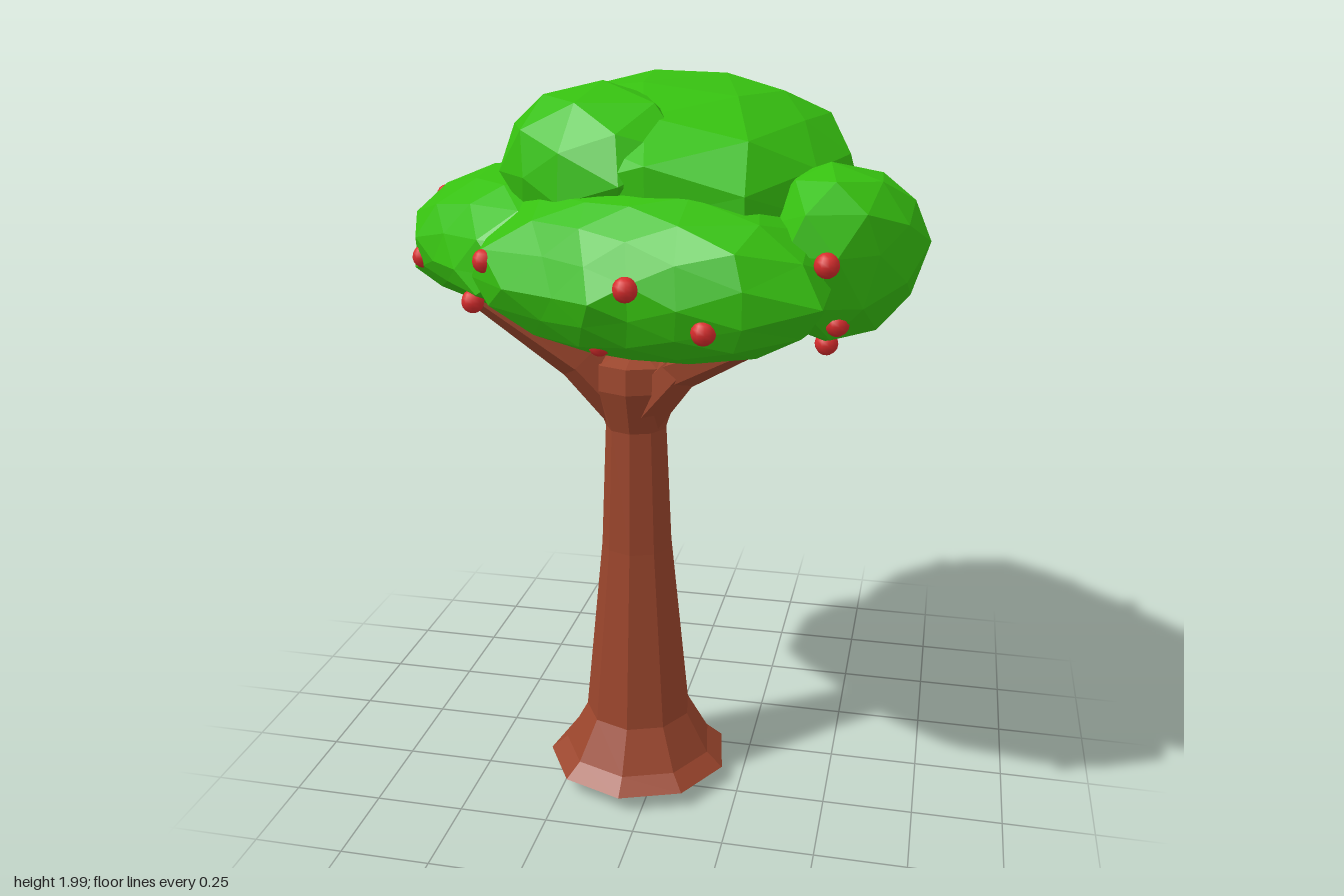
import * as THREE from 'three';

const mat = (color) => new THREE.MeshStandardMaterial({ color, flatShading: true, roughness: 1 });
const bark = mat(0x9a452c), leaf = mat(0x36c010), red = new THREE.MeshStandardMaterial({ color: 0xd82c2c });

// Small repeatable wobble taken from a direction, so shared corners stay joined
const wobble = (v, k) => Math.sin(v.x * 7.1 + k) * Math.sin(v.y * 6.3 + k * 2) * Math.sin(v.z * 8.7 + k * 3);

// Distance from a centre to a plan outline along direction (dx, dz)
function reach(cx, cz, dx, dz, outline) {
  let best = 0;
  outline.forEach(([ax, az], i) => {
    const [bx, bz] = outline[(i + 1) % outline.length];
    const ex = bx - ax, ez = bz - az, den = dx * ez - dz * ex;
    if (Math.abs(den) < 1e-9) return;
    const t = ((ax - cx) * ez - (az - cz) * ex) / den;
    const u = ((ax - cx) * dz - (az - cz) * dx) / den;
    if (t > 0 && u >= -1e-6 && u <= 1 + 1e-6) best = Math.max(best, t);
  });
  return best;
}

// Faceted leaf clump: a dome above and below a plan outline of [x, z] points
function clump(name, [cx, cz], [low, mid, high], outline, detail, seed) {
  const geo = new THREE.IcosahedronGeometry(1, detail);
  geo.rotateY(seed * 0.7);
  const p = geo.attributes.position, v = new THREE.Vector3();
  for (let i = 0; i < p.count; i++) {
    v.fromBufferAttribute(p, i);
    const flat = Math.max(Math.hypot(v.x, v.z), 1e-5);
    const dx = v.x / flat, dz = v.z / flat;
    const r = reach(cx, cz, dx, dz, outline) * Math.pow(flat, 0.9) * (1 + 0.06 * wobble(v, seed));
    p.setXYZ(i, cx + dx * r, mid + v.y * (v.y > 0 ? high - mid : mid - low), cz + dz * r);
  }
  geo.computeVertexNormals();
  const mesh = new THREE.Mesh(geo, leaf);
  mesh.name = name;
  return mesh;
}

// Tapered limb through a list of [x, y, z, radius]
function limb(name, points) {
  const group = new THREE.Group();
  group.name = name;
  for (let i = 0; i + 1 < points.length; i++) {
    const a = new THREE.Vector3(...points[i].slice(0, 3)), b = new THREE.Vector3(...points[i + 1].slice(0, 3));
    const dir = b.clone().sub(a);
    const mesh = new THREE.Mesh(
      new THREE.CylinderGeometry(points[i + 1][3], points[i][3], dir.length() + 0.015, 6), bark);
    mesh.name = name + 'Part';
    mesh.position.copy(a).add(b).multiplyScalar(0.5);
    mesh.quaternion.setFromUnitVectors(new THREE.Vector3(0, 1, 0), dir.normalize());
    group.add(mesh);
  }
  return group;
}

export function createModel() {
  const tree = new THREE.Group();
  tree.name = 'tree';

  // Trunk with flared foot and crown
  const profile = [[0, 0], [0.17, 0.008], [0.262, 0.045], [0.215, 0.085], [0.152, 0.2], [0.1, 0.72],
    [0.085, 1.07], [0.125, 1.19], [0.12, 1.26], [0, 1.3]];
  const trunk = new THREE.Mesh(
    new THREE.LatheGeometry(profile.map(([x, y]) => new THREE.Vector2(x, y)), 9), bark);
  trunk.name = 'trunk';
  trunk.position.set(-0.06, 0, 0.16);
  tree.add(trunk);

  // Branches spreading into the leaves
  tree.add(
    limb('rightBranch', [[-0.09, 1.13, 0.17, 0.07], [-0.2, 1.26, 0.21, 0.06], [-0.44, 1.44, 0.3, 0.03]]),
    limb('leftBranch', [[-0.03, 1.13, 0.18, 0.07], [0.08, 1.26, 0.24, 0.055], [0.3, 1.4, 0.45, 0.03]]),
    limb('leftFork', [[0.07, 1.26, 0.23, 0.045], [0.2, 1.33, 0.24, 0.04], [0.38, 1.44, 0.2, 0.025]]),
    limb('backLeftBranch', [[-0.04, 1.14, 0.13, 0.07], [0.04, 1.28, 0.06, 0.05], [0.26, 1.46, -0.2, 0.03]]),
    limb('backRightBranch', [[-0.07, 1.14, 0.12, 0.07], [-0.12, 1.27, 0.03, 0.055], [-0.21, 1.42, -0.34, 0.03]]),
  );

  // Leaf clumps
  tree.add(
    clump('frontLeaves', [0.05, 0.38], [1.34, 1.53, 1.77], [[0.5, 0.35], [0.5, 0.59], [0.33, 0.69],
      [0.2, 0.7], [-0.1, 0.66], [-0.35, 0.52], [-0.48, 0.38], [-0.4, 0.15], [-0.2, 0.1], [0.3, 0.1]], 2, 1),
    clump('rightLeaves', [-0.33, 0.08], [1.39, 1.54, 1.77], [[-0.7, -0.08], [-0.7, 0.14], [-0.61, 0.29],
      [-0.35, 0.51], [-0.1, 0.45], [0, 0.1], [-0.1, -0.2], [-0.4, -0.3], [-0.54, -0.29]], 2, 2),
    clump('backLeaves', [0.02, -0.3], [1.33, 1.56, 1.76], [[0.03, -0.72], [0.2, -0.6], [0.37, -0.45],
      [0.5, -0.28], [0.48, -0.12], [0.2, -0.02], [-0.2, -0.02], [-0.45, -0.05], [-0.53, -0.28],
      [-0.46, -0.4], [-0.36, -0.56], [-0.13, -0.71]], 2, 3),
    clump('crownLeaves', [0.03, -0.1], [1.5, 1.7, 2], [[-0.06, -0.55], [0.22, -0.37], [0.53, -0.07],
      [0.46, 0.26], [0.31, 0.53], [0, 0.53], [-0.3, 0.37], [-0.43, 0.1], [-0.46, -0.2], [-0.26, -0.42]], 2, 4),
    clump('crownBump', [-0.13, 0.2], [1.6, 1.77, 1.99], [[-0.37, -0.04], [-0.1, -0.06], [0.01, 0.1],
      [0.18, 0.3], [0.14, 0.4], [0, 0.49], [-0.2, 0.46], [-0.38, 0.33], [-0.42, 0.12]], 1, 5),
    clump('leftLeaves', [0.44, 0], [1.37, 1.56, 1.74], [[0.55, -0.22], [0.62, -0.18], [0.69, -0.05],
      [0.68, 0.08], [0.64, 0.18], [0.5, 0.24], [0.3, 0.2], [0.22, 0], [0.3, -0.18]], 1, 6),
    clump('leftFrontLeaves', [0.46, 0.32], [1.38, 1.63, 1.82], [[0.52, 0.12], [0.66, 0.15], [0.71, 0.23],
      [0.66, 0.4], [0.53, 0.55], [0.4, 0.55], [0.32, 0.4], [0.3, 0.28], [0.4, 0.16]], 1, 7),
  );

  // Fruit
  const fruits = [[0.05, 1.88, -0.4], [0.03, 1.55, -0.7], [-0.25, 1.61, -0.62], [-0.46, 1.64, -0.36],
    [0.38, 1.7, -0.34], [0.36, 1.46, -0.43], [0.65, 1.55, -0.06], [-0.65, 1.65, -0.03],
    [-0.62, 1.53, 0.24], [-0.36, 1.58, 0.49], [0.04, 1.57, 0.68], [0.22, 1.48, 0.68],
    [0.48, 1.62, 0.56], [0.62, 1.63, 0.38], [0.5, 1.46, 0.46], [0.46, 1.36, 0.27],
    [0.5, 1.36, 0], [-0.05, 1.41, 0.57], [-0.54, 1.41, 0.1], [-0.42, 1.46, 0.42], [0.15, 1.34, -0.35]];
  const fruitGeo = new THREE.SphereGeometry(0.03, 10, 8);
  for (const at of fruits) {
    const fruit = new THREE.Mesh(fruitGeo, red);
    fruit.name = 'fruit';
    fruit.position.set(...at);
    tree.add(fruit);
  }
  return tree;
}
